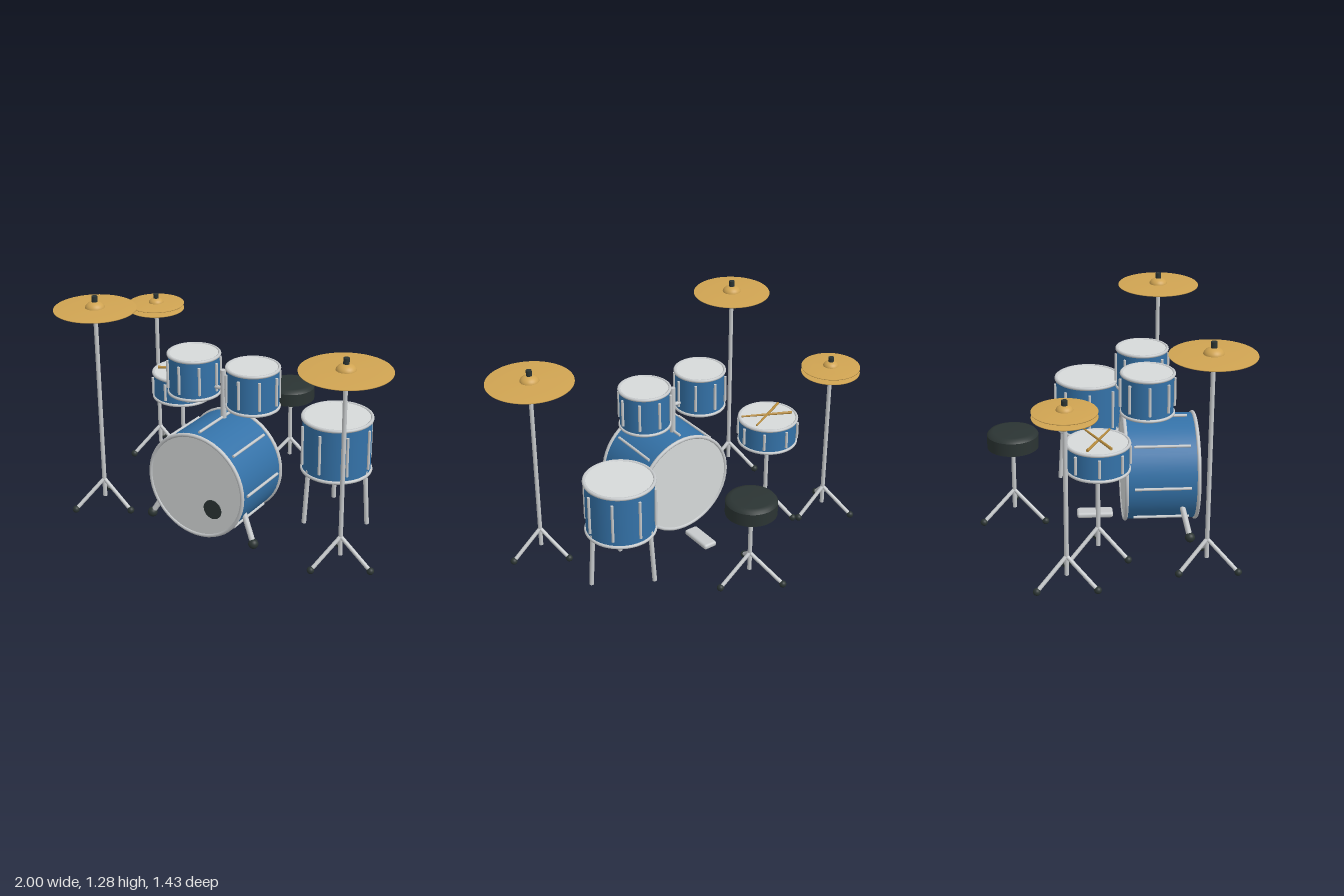
import * as THREE from 'three';
import { RoundedBoxGeometry } from 'three/addons/geometries/RoundedBoxGeometry.js';

const material = (name, color) => {
  const m = new THREE.MeshStandardMaterial({ color });
  m.name = name;
  return m;
};

export function createModel() {
  const blue = material('blue shell', 0x3472a8);
  const chrome = material('chrome', 0xc6c9cb);
  const skin = material('drum head', 0xd6dada);
  const gold = material('cymbal bronze', 0xd0a452);
  const black = material('black rubber', 0x2b3433);
  const wood = material('stick wood', 0xb58a3c);

  const model = new THREE.Group();
  model.name = 'drumKit';

  const group = (name, x, y, z) => {
    const g = new THREE.Group();
    g.name = name;
    g.position.set(x, y, z);
    model.add(g);
    return g;
  };
  const add = (parent, name, geometry, mat, x = 0, y = 0, z = 0) => {
    const m = new THREE.Mesh(geometry, mat);
    m.name = name;
    m.position.set(x, y, z);
    parent.add(m);
    return m;
  };
  // Straight round bar between two points
  const rod = (parent, name, a, b, r, mat = chrome, r2 = r) => {
    const p = new THREE.Vector3(...a), q = new THREE.Vector3(...b);
    const dir = q.clone().sub(p);
    const m = add(parent, name, new THREE.CylinderGeometry(r2, r, dir.length(), 14), mat);
    m.position.copy(p).add(q).multiplyScalar(0.5);
    m.quaternion.setFromUnitVectors(new THREE.Vector3(0, 1, 0), dir.normalize());
    return m;
  };

  // Drum along y, centred on its group: shell, two heads, two hoops, tension rods
  const drum = (name, x, y, z, r, h, tube, lugLength) => {
    const g = group(name, x, y, z);
    add(g, 'shell', new THREE.CylinderGeometry(r, r, h, 48, 1, true), blue);
    for (const s of [1, -1]) {
      add(g, 'head', new THREE.CylinderGeometry(r - 0.001, r - 0.001, 0.008, 48), skin, 0, s * h / 2, 0);
      add(g, 'hoop', new THREE.TorusGeometry(r, tube, 10, 48), chrome, 0, s * h / 2, 0).rotation.x = Math.PI / 2;
    }
    for (let i = 0; i < 8; i++) {
      const a = i * Math.PI / 4, c = (r + 0.006) * Math.cos(a), s = (r + 0.006) * Math.sin(a);
      rod(g, 'tensionRod', [c, -lugLength / 2, s], [c, lugLength / 2, s], 0.008);
    }
    return g;
  };

  // Tripod stand with pole and rubber feet
  const stand = (name, x, z, top, spread = 0.18) => {
    const g = group(name, x, 0, z);
    rod(g, 'pole', [0, 0.08, 0], [0, top, 0], 0.012);
    for (let i = 0; i < 3; i++) {
      const a = i * Math.PI * 2 / 3, foot = [spread * Math.cos(a), 0.037, spread * Math.sin(a)];
      rod(g, 'leg', [0, 0.19, 0], foot, 0.011);
      add(g, 'foot', new THREE.SphereGeometry(0.02, 16, 12), black, ...foot);
    }
    return g;
  };

  // Thin lens-shaped plate with a bell
  const cymbal = (parent, y, r, bell) => {
    const profile = [[0, -0.006], [r * 0.6, -0.006], [r, -0.003], [r, 0.001], [r * 0.6, 0.004], [0, 0.008]];
    add(parent, 'cymbal', new THREE.LatheGeometry(profile.map(p => new THREE.Vector2(...p)), 56), gold, 0, y, 0);
    add(parent, 'bell', new THREE.SphereGeometry(bell, 28, 10, 0, Math.PI * 2, 0, Math.PI / 2), gold, 0, y + 0.003, 0)
      .scale.y = 0.7;
  };
  const nut = (parent, y) => add(parent, 'wingNut', new THREE.CylinderGeometry(0.016, 0.016, 0.034, 16), black, 0, y, 0);

  // Bass drum facing forward, with port hole and spurs
  const bx = -0.065;
  drum('bassDrum', bx, 0.32, 0.29, 0.297, 0.395, 0.011, 0.31).rotation.x = Math.PI / 2;
  add(model, 'portHole', new THREE.CylinderGeometry(0.056, 0.056, 0.006, 32), black, 0.045, 0.207, 0.493)
    .rotation.x = Math.PI / 2;
  for (const s of [1, -1]) {
    const foot = [bx + s * 0.335, 0.036, 0.438];
    rod(model, 'spur', [bx + s * 0.25, 0.19, 0.4], foot, 0.016);
    add(model, 'spurFoot', new THREE.SphereGeometry(0.028, 18, 14), black, ...foot);
  }
  add(model, 'pedal', new RoundedBoxGeometry(0.085, 0.033, 0.205, 3, 0.014), chrome, bx, 0.028, -0.07);

  // Rack toms on a shared post
  for (const s of [1, -1]) {
    drum(s > 0 ? 'leftRackTom' : 'rightRackTom', bx + s * 0.19, 0.846, 0.206, 0.141, 0.222, 0.009, 0.16);
    rod(model, 'tomArm', [bx, 0.79, 0.206], [bx + s * 0.06, 0.79, 0.206], 0.011);
  }
  rod(model, 'tomPost', [bx, 0.6, 0.206], [bx, 0.9, 0.206], 0.016);

  // Floor tom on three splayed legs
  const floorTom = drum('floorTom', 0.489, 0.489, -0.082, 0.191, 0.308, 0.01, 0.23);
  for (let i = 0; i < 3; i++) {
    const a = i * Math.PI * 2 / 3, c = Math.cos(a), s = Math.sin(a);
    rod(floorTom, 'leg', [0.18 * c, -0.13, 0.18 * s], [0.202 * c, -0.453, 0.202 * s], 0.013);
  }

  // Snare with crossed sticks
  const sx = -0.537, sz = -0.075;
  drum('snareDrum', sx, 0.612, sz, 0.165, 0.146, 0.009, 0.1);
  stand('snareStand', sx, sz, 0.53);
  rod(model, 'stick', [-0.665, 0.7, -0.135], [-0.4, 0.7, -0.005], 0.008, wood, 0.005);
  rod(model, 'stick', [-0.662, 0.706, -0.012], [-0.4, 0.706, -0.143], 0.008, wood, 0.005);

  // Cymbal stands
  for (const [name, x, z, y, r] of [['rideCymbal', -0.696, 0.49, 1.219, 0.223], ['crashCymbal', 0.755, 0.353, 1.13, 0.239]]) {
    const g = stand(name, x, z, y + 0.04);
    cymbal(g, y, r, 0.053);
    nut(g, y + 0.053);
  }
  const hiHat = stand('hiHat', -0.836, -0.251, 1.03);
  cymbal(hiHat, 0.965, 0.165, 0.044);
  cymbal(hiHat, 0.995, 0.165, 0.044);
  nut(hiHat, 1.035);

  // Stool with a soft-edged round seat
  const stool = stand('stool', bx, -0.526, 0.47, 0.2);
  const seat = [[0, 0.46], [0.143, 0.46], [0.143, 0.46], [0.143, 0.535], [0.143, 0.535], [0.133, 0.548], [0.11, 0.555], [0, 0.557]];
  add(stool, 'seat', new THREE.LatheGeometry(seat.map(p => new THREE.Vector2(...p)), 48), black);

  return model;
}
